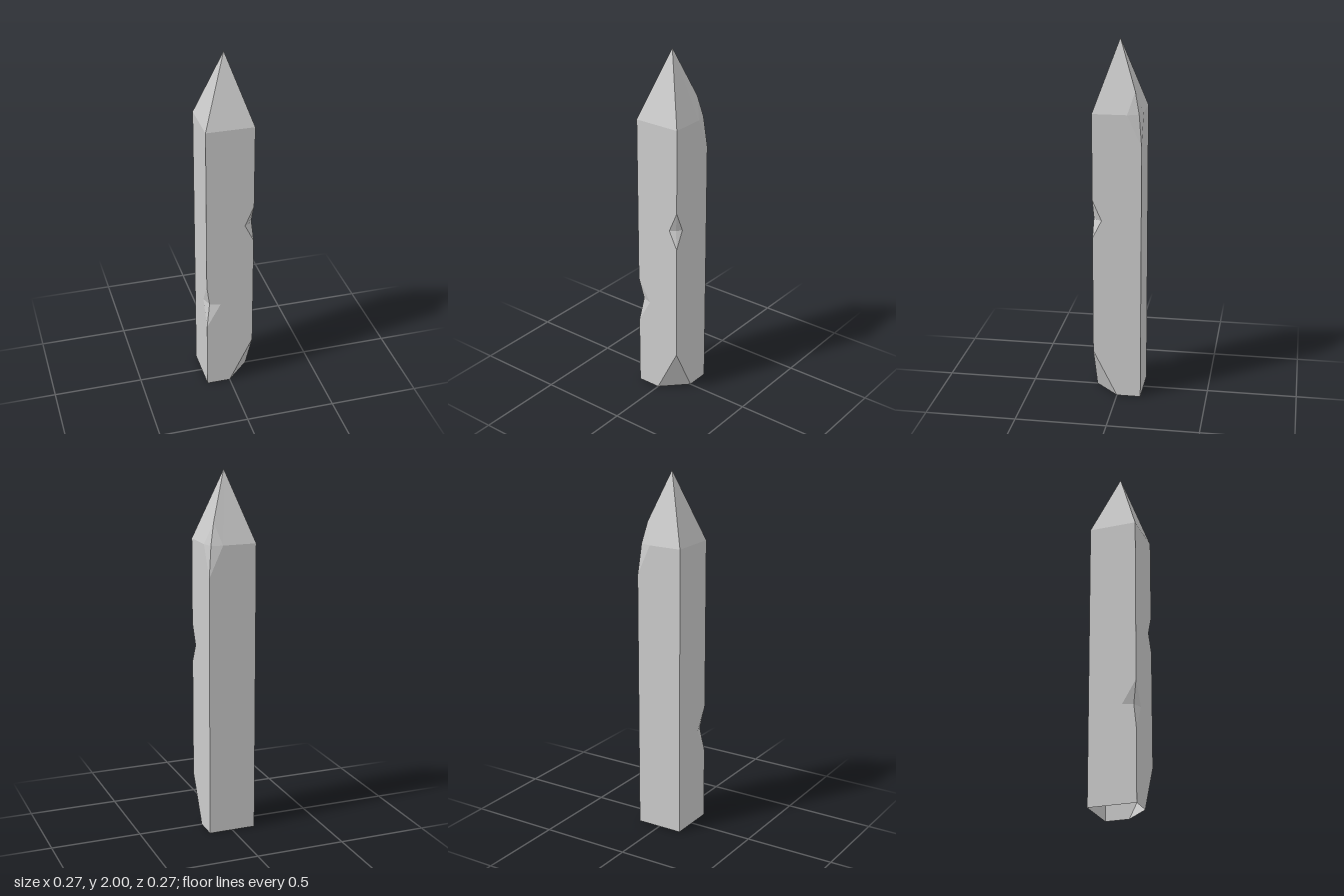
import * as THREE from 'three';

const H = 0.133;      // half width of the post
const EAVE = 1.617;   // height where the point begins
const TIP = 2;

const material = new THREE.MeshStandardMaterial({
  color: 0xcccccc, flatShading: true, side: THREE.DoubleSide,
});

function addMesh(parent, name, geometry) {
  const mesh = new THREE.Mesh(geometry, material);
  mesh.name = name;
  parent.add(mesh);
  return mesh;
}

// Flat wall from an outline, pushed out to the post's side and turned about y
function wall(outline, turn) {
  const shape = new THREE.Shape(outline.map(([u, y]) => new THREE.Vector2(u, y)));
  return new THREE.ShapeGeometry(shape).translate(0, 0, H).rotateY(turn);
}

// Convex facets, each a counter-clockwise loop of points
function facets(loops) {
  const positions = [];
  for (const loop of loops) {
    for (let i = 1; i < loop.length - 1; i++) positions.push(...loop[0], ...loop[i], ...loop[i + 1]);
  }
  const geometry = new THREE.BufferGeometry();
  geometry.setAttribute('position', new THREE.Float32BufferAttribute(positions, 3));
  geometry.computeVertexNormals();
  return geometry;
}

// Four-facet dent in a corner: sx, sz choose the corner
function dent(sx, sz, { top, topOut = H, mid, bottom, reach, inner }) {
  const t = [sx * topOut, top, sz * topOut];
  const b = [sx * H, bottom, sz * H];
  const m = [sx * inner, mid, sz * inner];
  const p = [sx * reach, mid, sz * H];
  const q = [sx * H, mid, sz * reach];
  const loops = [[t, p, m], [t, m, q], [b, m, p], [b, q, m]];
  return facets(sx * sz > 0 ? loops : loops.map((l) => l.reverse()));
}

export function createModel() {
  const post = new THREE.Group();
  post.name = 'woodenStake';

  const upper = { top: 1.735, topOut: 0.093, mid: EAVE, bottom: 1.445, reach: 0.055, inner: 0.117 };
  const middle = { top: 1.145, mid: 1.03, bottom: 0.93, reach: 0.083, inner: 0.112 };
  const lower = { top: 0.67, mid: 0.54, bottom: 0.4, reach: 0.055, inner: 0.113 };
  const foot = 0.265;

  // Walls, open at the bottom, with gaps where the corners are chipped
  addMesh(post, 'frontWall', wall([
    [-H, 0], [0, 0], [H, foot],
    [H, middle.bottom], [middle.reach, middle.mid], [H, middle.top],
    [H, EAVE], [-H, EAVE],
    [-H, lower.top], [-lower.reach, lower.mid], [-H, lower.bottom],
  ], 0));
  addMesh(post, 'leftWall', wall([
    [0, 0], [H, 0], [H, upper.bottom], [upper.reach, EAVE], [-H, EAVE],
    [-H, middle.top], [-middle.reach, middle.mid], [-H, middle.bottom], [-H, foot],
  ], Math.PI / 2));
  addMesh(post, 'backWall', wall([
    [-H, 0], [H, 0], [H, EAVE], [-upper.reach, EAVE], [-H, upper.bottom],
  ], Math.PI));
  addMesh(post, 'rightWall', wall([
    [-H, 0], [H, 0], [H, lower.bottom], [lower.reach, lower.mid], [H, lower.top],
    [H, EAVE], [-H, EAVE],
  ], -Math.PI / 2));

  // Pyramid point, its back left ridge cut short by the upper chip
  const tip = [0, TIP, 0];
  const cut = [upper.topOut, upper.top, -upper.topOut];
  const frontLeft = [H, EAVE, H], frontRight = [-H, EAVE, H], backRight = [-H, EAVE, -H];
  addMesh(post, 'point', facets([
    [tip, frontRight, frontLeft],
    [tip, backRight, frontRight],
    [tip, frontLeft, [H, EAVE, -upper.reach], cut],
    [tip, cut, [upper.reach, EAVE, -H], backRight],
  ]));

  // Chipped corners
  addMesh(post, 'upperChip', dent(1, -1, upper));
  addMesh(post, 'middleChip', dent(1, 1, middle));
  addMesh(post, 'lowerChip', dent(-1, 1, lower));
  addMesh(post, 'footChip', facets([[[H, foot, H], [0, 0, H], [H, 0, 0]]]));

  return post;
}
